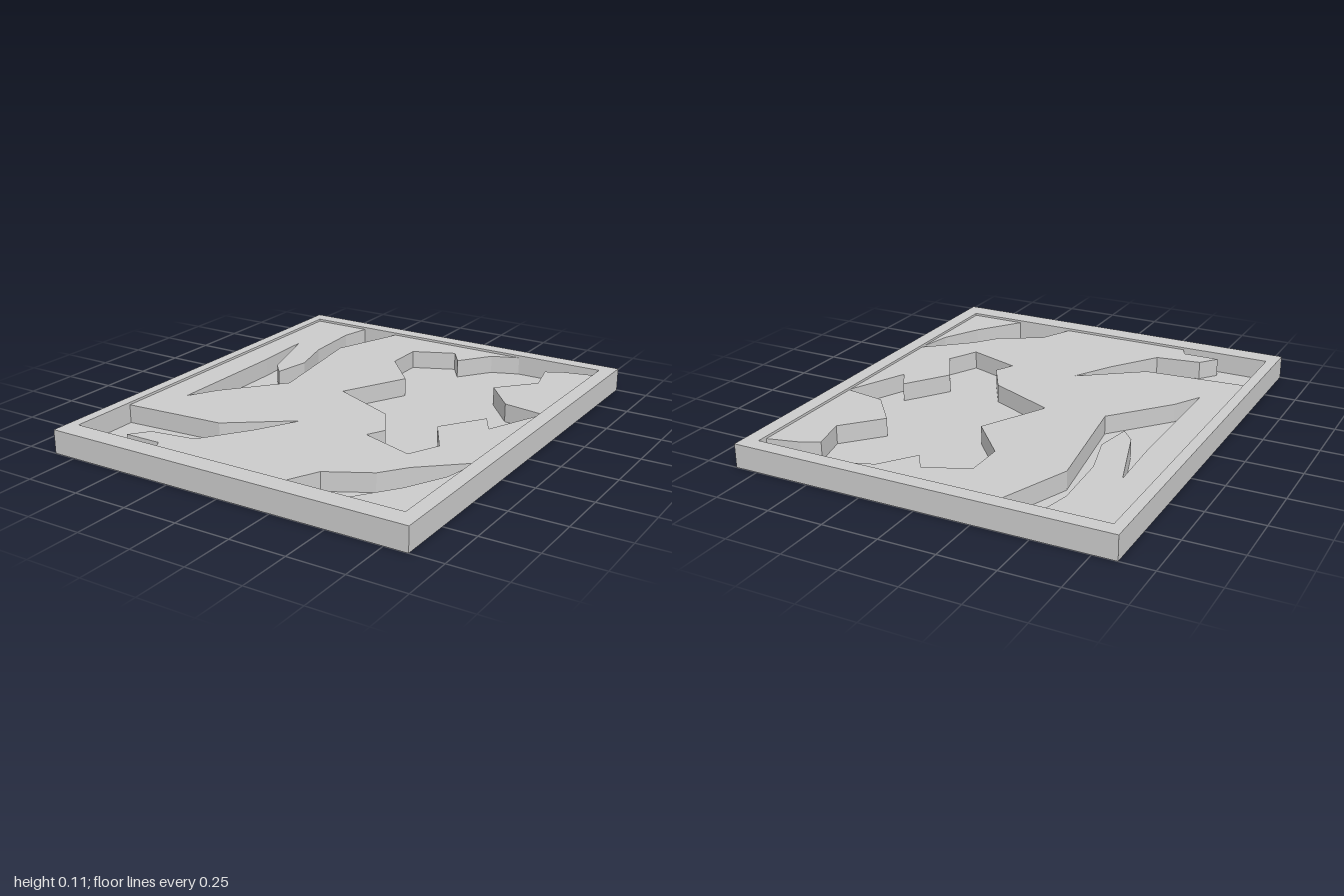
import * as THREE from 'three';

const RIM = 0.107, LAND = 0.096, FLOOR = 0.012;
const X0 = -0.805, X1 = 0.785, Z0 = -0.93, Z1 = 0.905; // inside of the frame

const material = new THREE.MeshStandardMaterial({ color: 0xcccccc, flatShading: true });

// Rectangle at height y, counter-clockwise seen from above
const ring = (x0, x1, z0, z1, y) => [[x0, y, z0], [x0, y, z1], [x1, y, z1], [x1, y, z0]];

// Open box: outer wall, flat rim, inner wall and floor joined from four rings
function trayGeometry() {
  const rings = [
    ring(-0.854, 0.854, -1, 1, 0),
    ring(-0.854, 0.854, -1, 1, RIM),
    ring(X0, X1, Z0, Z1, RIM),
    ring(X0, X1, Z0, Z1, FLOOR),
  ];
  const points = [];
  const quad = (a, b, c, d) => points.push(...a, ...b, ...c, ...a, ...c, ...d);
  for (let r = 0; r < 3; r++) {
    for (let i = 0; i < 4; i++) {
      const j = (i + 1) % 4;
      quad(rings[r][i], rings[r][j], rings[r + 1][j], rings[r + 1][i]);
    }
  }
  quad(...rings[3]);
  quad(...rings[0].slice().reverse());
  const geometry = new THREE.BufferGeometry();
  geometry.setAttribute('position', new THREE.Float32BufferAttribute(points, 3));
  geometry.computeVertexNormals();
  return geometry;
}

// Raised slab with an (x, z) outline, from the floor up to land height
function landGeometry(outline) {
  const shape = new THREE.Shape(outline.map(([x, z]) => new THREE.Vector2(x, z)));
  const geometry = new THREE.ExtrudeGeometry(shape, { depth: LAND - FLOOR, bevelEnabled: false });
  return geometry.rotateX(Math.PI / 2).translate(0, LAND, 0);
}

// Shores of the sunken channels
const westChannel = [
  [-0.52, Z0], [-0.55, -0.79], [-0.535, -0.51], [-0.48, -0.305], [-0.51, -0.135],
  [-0.57, -0.205], [-0.68, -0.555], [-0.667, -0.25], [-0.667, 0.357], [-0.595, 0.23],
  [-0.375, -0.03], [-0.46, -0.595], [-0.335, Z0],
];
const centreBasin = [
  [0.37, Z0], [0.245, -0.88], [0.135, -0.73], [0.07, -0.825], [-0.12, -0.74], [-0.12, -0.56],
  [0.052, -0.365], [-0.103, -0.065], [0.21, 0.08], [0.308, 0.245], [0.265, 0.328], [0.512, 0.415],
  [0.58, 0.275], [0.47, 0.09], [0.605, -0.105], [0.667, 0], [X1, -0.265],
];
const southEastShore = [[X1, 0.357], [0.59, 0.53], [0.505, 0.645], [0.315, 0.75], [0.24, Z1]];
const southWestBay = [
  [-0.385, Z1], [-0.41, 0.855], [-0.58, 0.855], [-0.517, 0.775], [-0.31, 0.745],
  [-0.16, 0.53], [-0.057, 0.345], [-0.335, 0.55], [X0, 0.585],
];

const lands = {
  mainLand: [[X0, Z0], ...westChannel, ...centreBasin, ...southEastShore, ...southWestBay],
  eastLand: [[X1, -0.88], [0.64, -0.845], [0.563, -0.805], [0.603, -0.64],
    [0.455, -0.475], [0.595, -0.308], [X1, -0.277]],
  cornerLand: [[X1, 0.38], [0.755, 0.53], [0.665, 0.705], [0.52, Z1], [X1, Z1]],
};

export function createModel() {
  const group = new THREE.Group();
  group.name = 'reliefTray';
  const add = (name, geometry) => {
    const mesh = new THREE.Mesh(geometry, material);
    mesh.name = name;
    group.add(mesh);
  };
  add('tray', trayGeometry());
  for (const [name, outline] of Object.entries(lands)) add(name, landGeometry(outline));
  return group;
}
